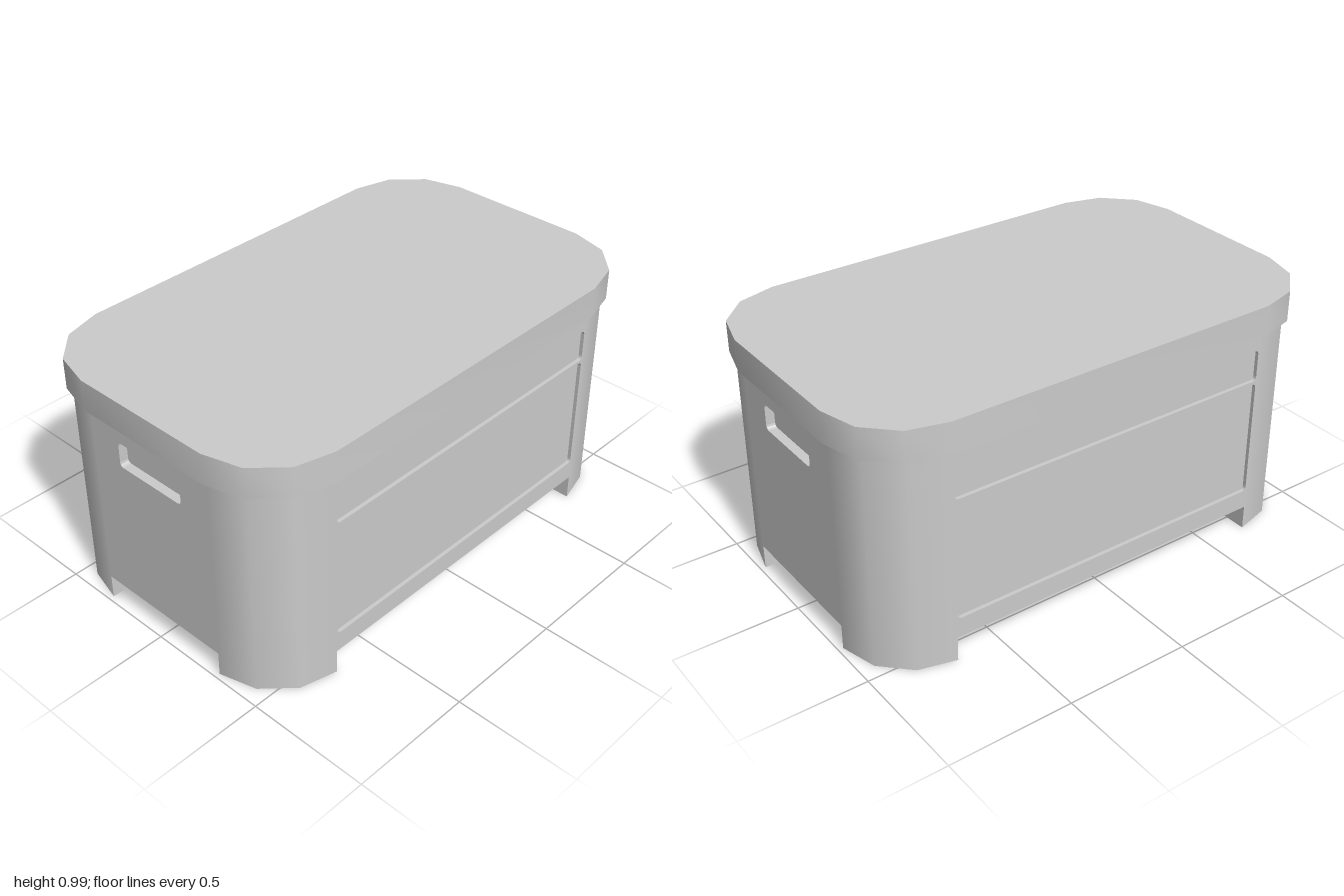
import * as THREE from 'three';
import { toCreasedNormals } from 'three/addons/utils/BufferGeometryUtils.js';

const material = new THREE.MeshStandardMaterial({ color: 0xcccccc });
const HX = 0.59, HZ = 0.98, R = 0.295;   // body half width, half length, corner radius
const BASE = 0.1, RIM = 0.866, TOP = 0.99;

function add(parent, name, geometry, x = 0, y = 0, z = 0) {
  const mesh = new THREE.Mesh(geometry, material);
  mesh.name = name;
  mesh.position.set(x, y, z);
  parent.add(mesh);
  return mesh;
}

// Rectangle whose corners are arcs of three straight segments
function outline(hx, hz, r) {
  const points = [];
  for (let q = 0; q < 4; q++) {
    const cx = (q === 0 || q === 3 ? 1 : -1) * (hx - r);
    const cy = (q < 2 ? 1 : -1) * (hz - r);
    for (let i = 0; i <= 3; i++) {
      const a = (q + i / 3) * Math.PI / 2;
      points.push(new THREE.Vector2(cx + r * Math.cos(a), cy + r * Math.sin(a)));
    }
  }
  return points;
}

// Rounded opening given by half width, bottom and top
function opening(half, y0, y1) {
  const mid = (y0 + y1) / 2;
  return outline(half, (y1 - y0) / 2, 0.015).map(p => new THREE.Vector2(p.x, p.y + mid));
}

// Flat wall facing +z with sunken pockets
function wall(name, half, pockets, depth) {
  const group = new THREE.Group();
  group.name = name;
  const shape = new THREE.Shape([[-half, BASE], [half, BASE], [half, RIM], [-half, RIM]]
    .map(([x, y]) => new THREE.Vector2(x, y)));
  for (const [label, w, y0, y1] of pockets) {
    const points = opening(w, y0, y1);
    shape.holes.push(new THREE.Path(points));
    add(group, label, new THREE.ShapeGeometry(new THREE.Shape(points)), 0, 0, -depth);
  }
  add(group, name + 'Face', new THREE.ExtrudeGeometry(shape, { depth, bevelEnabled: false }), 0, 0, -depth);
  return group;
}

export function createModel() {
  const model = new THREE.Group();
  model.name = 'storageChest';

  // End walls with hand grips, side walls with two sunken panels
  for (const s of [1, -1]) {
    const end = wall(s > 0 ? 'frontWall' : 'backWall', HX - R, [['handGrip', 0.157, 0.69, 0.793]], 0.035);
    end.position.z = s * HZ;
    end.rotation.y = s > 0 ? 0 : Math.PI;
    const side = wall(s > 0 ? 'leftWall' : 'rightWall', HZ - R,
      [['upperPanel', 0.682, 0.675, 0.805], ['lowerPanel', 0.682, 0.18, 0.662]], 0.015);
    side.position.x = s * HX;
    side.rotation.y = s * Math.PI / 2;
    model.add(end, side);
  }

  // Rounded corner posts reaching down to form the feet
  for (let q = 0; q < 4; q++) {
    const corner = new THREE.Group();
    corner.name = 'cornerPost' + (q + 1);
    corner.position.set((q < 2 ? 1 : -1) * (HX - R), 0, (q === 0 || q === 3 ? 1 : -1) * (HZ - R));
    corner.rotation.y = q * Math.PI / 2;
    add(corner, 'post', new THREE.CylinderGeometry(R, R, RIM, 3, 1, false, 0, Math.PI / 2), 0, RIM / 2, 0);
    const inner = new THREE.PlaneGeometry(R, BASE);
    add(corner, 'footInnerSide', inner, 0, BASE / 2, R / 2).rotation.y = -Math.PI / 2;
    add(corner, 'footInnerEnd', inner, R / 2, BASE / 2, 0).rotation.y = Math.PI;
    model.add(corner);
  }

  // Underside between the feet
  const floor = new THREE.ShapeGeometry(new THREE.Shape(outline(HX, HZ, R)));
  add(model, 'underside', floor.rotateX(Math.PI / 2), 0, BASE, 0);

  // Overhanging lid
  const lid = new THREE.ExtrudeGeometry(new THREE.Shape(outline(0.605, 1, 0.305)),
    { depth: TOP - RIM, bevelEnabled: false });
  add(model, 'lid', toCreasedNormals(lid.rotateX(-Math.PI / 2), Math.PI / 4), 0, RIM, 0);

  return model;
}
